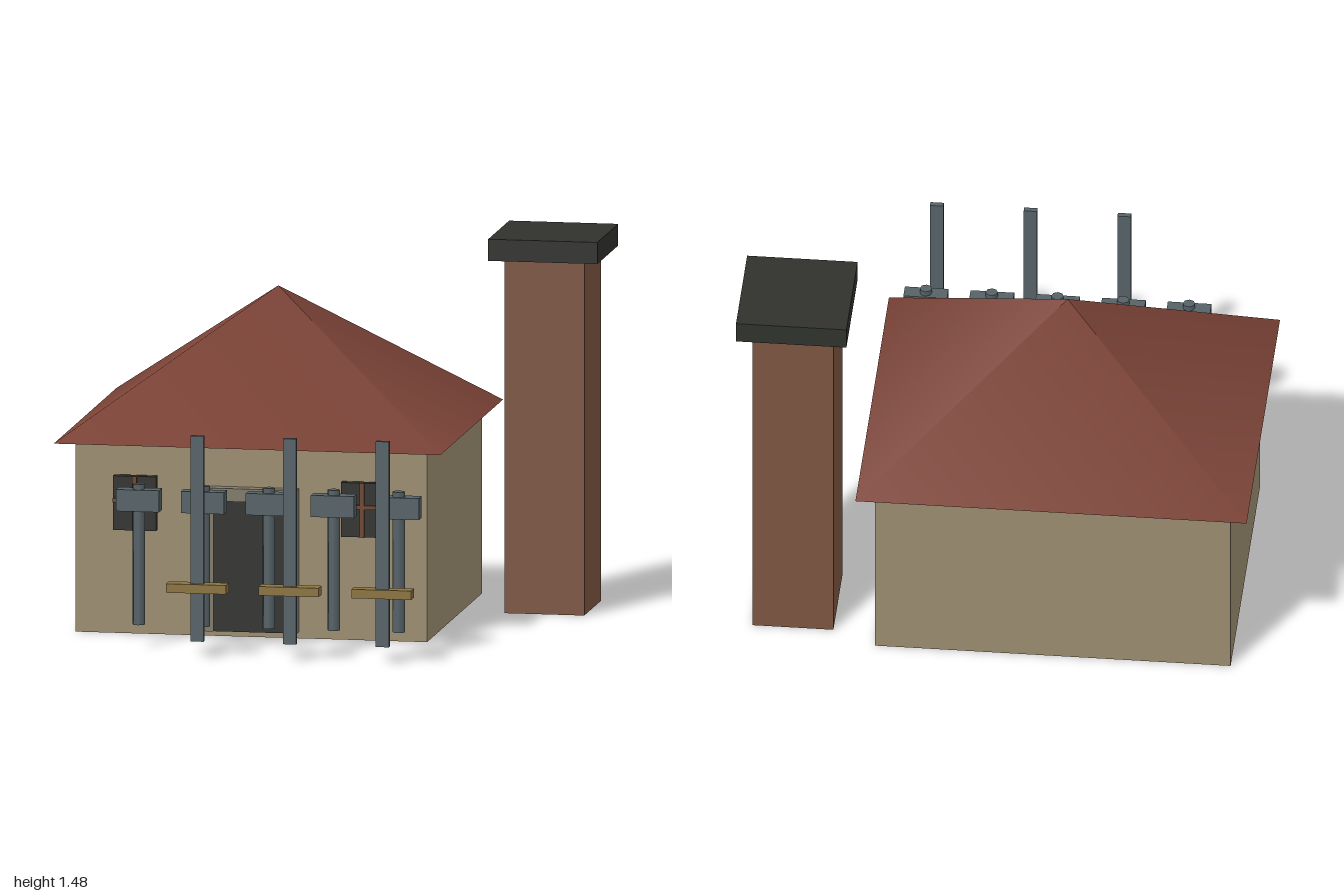
import * as THREE from 'three';

const paint = (color) => new THREE.MeshStandardMaterial({ color });
const mats = {
  wall: paint(0x9c8d70), roof: paint(0x7a4236), brick: paint(0x7d5641), dark: paint(0x30322d),
  stone: paint(0x817b69), wood: paint(0x6e4530), steel: paint(0x566267), brass: paint(0x8c7340),
};

export function createModel() {
  const model = new THREE.Group();
  model.name = 'smithy';

  const add = (parent, name, geometry, mat, x, y, z) => {
    const mesh = new THREE.Mesh(geometry, mats[mat]);
    mesh.name = name;
    mesh.position.set(x, y, z);
    parent.add(mesh);
    return mesh;
  };
  // Box given by its lower and upper limits on each axis
  const box = (parent, name, mat, [x0, x1], [y0, y1], [z0, z1]) =>
    add(parent, name, new THREE.BoxGeometry(x1 - x0, y1 - y0, z1 - z0), mat,
      (x0 + x1) / 2, (y0 + y1) / 2, (z0 + z1) / 2);
  const group = (name, x = 0, z = 0) => {
    const g = new THREE.Group();
    g.name = name;
    g.position.set(x, 0, z);
    model.add(g);
    return g;
  };

  // House body and four-sided roof
  box(model, 'walls', 'wall', [-0.93, 0.455], [0, 0.75], [-0.83, 0.345]);
  const roof = new THREE.ConeGeometry(Math.SQRT1_2, 0.535, 4);
  roof.rotateY(Math.PI / 4).scale(1.523, 1, 1.345);
  add(model, 'roof', roof, 'roof', -0.239, 1.0175, -0.243);

  // Chimney
  const chimney = group('chimney');
  box(chimney, 'chimneyStack', 'brick', [0.625, 0.94], [0, 1.39], [-0.742, -0.386]);
  box(chimney, 'chimneyCap', 'dark', [0.57, 1], [1.39, 1.475], [-0.787, -0.338]);

  // Doorway: frame with an opening, and the door set in it
  const doorway = group('doorway', -0.241);
  const frame = new THREE.Shape([[-0.191, 0.025], [-0.137, 0.025], [-0.137, 0.537], [0.137, 0.537],
    [0.137, 0.025], [0.191, 0.025], [0.191, 0.588], [-0.191, 0.588]].map((p) => new THREE.Vector2(...p)));
  add(doorway, 'doorFrame', new THREE.ExtrudeGeometry(frame, { depth: 0.051, bevelEnabled: false }),
    'stone', 0, 0, 0.344);
  box(doorway, 'door', 'dark', [-0.137, 0.137], [0.025, 0.537], [0.344, 0.388]);

  // Windows with crossed bars
  for (const x of [-0.689, 0.209]) {
    const win = group('window', x);
    box(win, 'windowPane', 'dark', [-0.085, 0.085], [0.412, 0.625], [0.36, 0.394]);
    box(win, 'verticalBar', 'wood', [-0.009, 0.009], [0.412, 0.625], [0.385, 0.403]);
    box(win, 'horizontalBar', 'wood', [-0.085, 0.085], [0.522, 0.538], [0.385, 0.403]);
  }

  // Row of hammers
  for (let i = 0; i < 5; i++) {
    const hammer = group('hammer', -0.624 + i * 0.256, 0.654);
    add(hammer, 'hammerHandle', new THREE.CylinderGeometry(0.024, 0.024, 0.552, 8), 'steel', 0, 0.364, 0);
    box(hammer, 'hammerHead', 'steel', [-0.085, 0.085], [0.535, 0.62], [-0.031, 0.031]);
  }

  // Row of swords
  for (let i = 0; i < 3; i++) {
    const sword = group('sword', -0.35 + i * 0.365, 0.888);
    box(sword, 'blade', 'steel', [-0.026, 0.026], [0.068, 0.875], [-0.011, 0.011]);
    box(sword, 'crossGuard', 'brass', [-0.118, 0.118], [0.26, 0.295], [-0.031, 0.031]);
  }

  return model;
}
